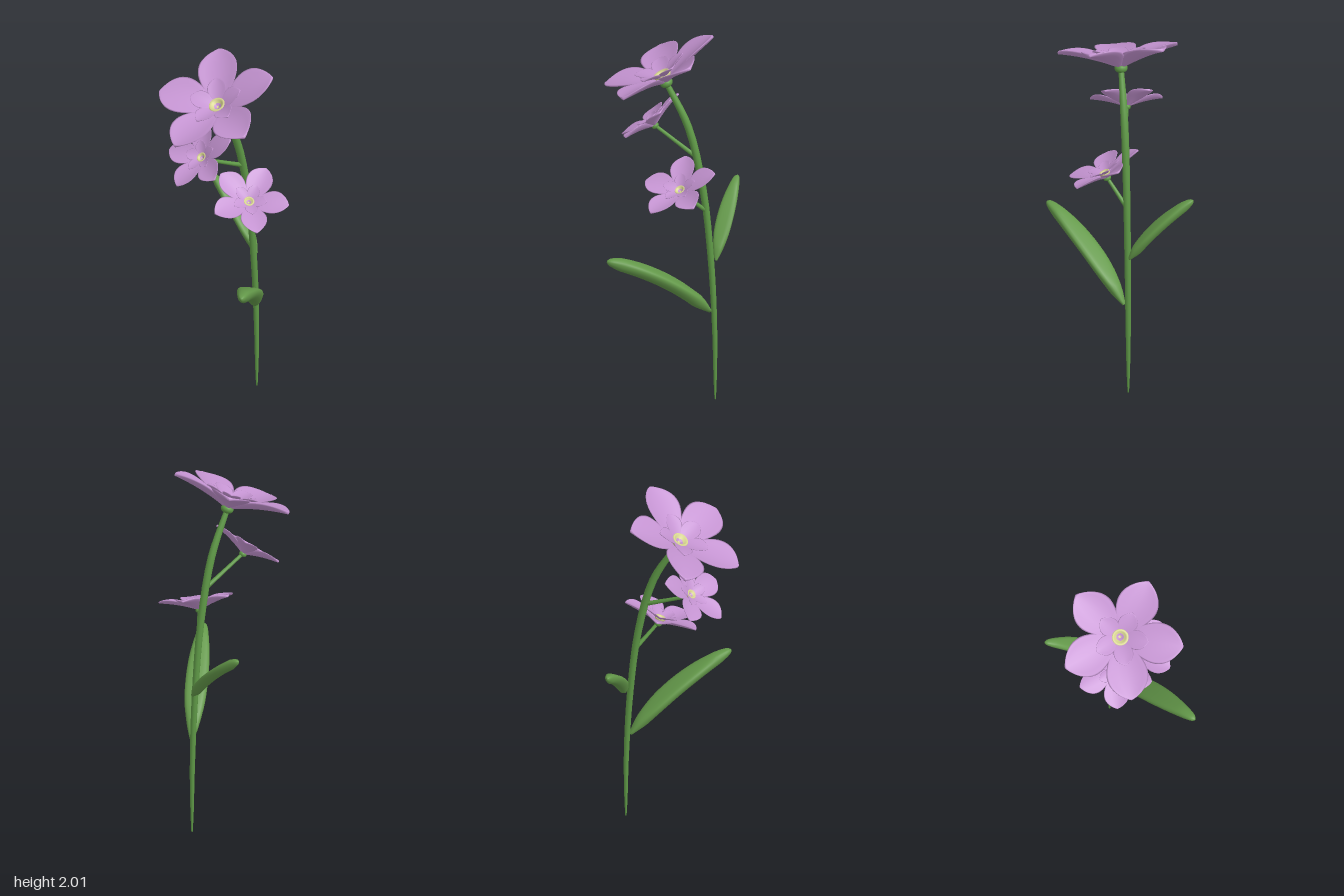
import * as THREE from 'three';

const V = (x, y, z) => new THREE.Vector3(x, y, z);
const petalMat = new THREE.MeshStandardMaterial({ color: 0xc695d3 });
const greenMat = new THREE.MeshStandardMaterial({ color: 0x5e9846 });
const leafMat = new THREE.MeshStandardMaterial({ color: 0x64994a });
const centreMat = new THREE.MeshStandardMaterial({ color: 0xd9d793 });

// Closed sweep along a curve: half-width from a profile of [t, width] points,
// flattened to the given thickness and cupped up at the edges
function blade(curve, profile, { thick = Infinity, cup = 0, ref = V(0, 1, 0), rows = 20, cols = 16 } = {}) {
  const outline = new THREE.SplineCurve(profile.map(([t, w]) => new THREE.Vector2(t, w)));
  const pos = [], index = [];
  for (let i = 0; i <= rows; i++) {
    const o = outline.getPoint(i / rows);
    const t = Math.min(1, Math.max(0, o.x));
    const w = Math.max(0.0005, o.y), h = Math.min(thick, w);
    const c = curve.getPoint(t), T = curve.getTangent(t);
    const S = T.clone().cross(ref).normalize(), N = S.clone().cross(T);
    for (let j = 0; j < cols; j++) {
      const a = (j / cols) * Math.PI * 2;
      const p = c.clone().addScaledVector(S, w * Math.cos(a))
        .addScaledVector(N, h * Math.sin(a) + cup * w * Math.cos(a) ** 2);
      pos.push(p.x, p.y, p.z);
      if (i < rows) {
        const k = (j + 1) % cols, A = i * cols, B = A + cols;
        index.push(A + j, B + j, B + k, A + j, B + k, A + k);
      }
    }
  }
  // End caps
  const last = rows * cols;
  for (let j = 1; j < cols - 1; j++) index.push(0, j, j + 1, last, last + j + 1, last + j);
  const g = new THREE.BufferGeometry();
  g.setAttribute('position', new THREE.Float32BufferAttribute(pos, 3));
  g.setIndex(index);
  g.computeVertexNormals();
  return g;
}

function add(parent, name, geometry, material) {
  const m = new THREE.Mesh(geometry, material);
  m.name = name;
  parent.add(m);
  return m;
}

// Petal: narrow base, broad cupped body, softly pointed tip
const petalGeo = blade(
  new THREE.QuadraticBezierCurve3(V(0.012, 0.003, 0), V(0.16, 0.066, 0), V(0.325, 0.088, 0)),
  [[0, 0.012], [0.2, 0.056], [0.4, 0.091], [0.58, 0.107], [0.74, 0.099], [0.87, 0.069], [0.96, 0.03], [1, 0.002]],
  { thick: 0.009, cup: 0.27 });

const cupGeo = new THREE.LatheGeometry(
  [[0, 0], [0.03, 0.008], [0.045, 0.03], [0.046, 0.042], [0.039, 0.05], [0.029, 0.043], [0.016, 0.027], [0, 0.022]]
    .map(([r, y]) => new THREE.Vector2(r, y)), 20);

// Flower: two rings of five petals, a hollow centre and a green base
function flower(name, position, turn, tilt, scale) {
  const f = new THREE.Group();
  f.name = name;
  for (let i = 0; i < 5; i++) {
    const angle = Math.PI + (i * Math.PI * 2) / 5;
    add(f, 'outerPetal', petalGeo, petalMat).rotation.y = angle;
    const inner = add(f, 'innerPetal', petalGeo, petalMat);
    inner.rotation.set(0, angle, 0.16);
    inner.position.y = 0.02;
    inner.scale.setScalar(0.47);
  }
  add(f, 'flowerCentre', cupGeo, centreMat).position.y = 0.004;
  const base = add(f, 'flowerBase', new THREE.SphereGeometry(0.034, 16, 12), greenMat);
  base.scale.y = 0.75;
  base.position.y = -0.008;
  f.rotation.order = 'YXZ';
  f.rotation.set(0, turn, tilt);
  f.position.copy(position);
  f.scale.setScalar(scale);
  return f;
}

export function createModel() {
  const model = new THREE.Group();
  model.name = 'floweringStem';

  // Main stem, pointed at the foot and bending over at the top
  const stem = new THREE.CatmullRomCurve3([
    V(0.27, 0, -0.01), V(0.267, 0.4, -0.01), V(0.247, 0.8, -0.01),
    V(0.205, 1.2, -0.01), V(0.125, 1.55, -0.01), V(0.005, 1.79, -0.01)]);
  add(model, 'stem', blade(stem,
    [[0, 0.004], [0.08, 0.01], [0.25, 0.015], [0.5, 0.018], [0.8, 0.02], [1, 0.014]],
    { ref: V(0, 0, 1), rows: 30, cols: 10 }), greenMat);

  // Flowers, the two lower ones on side stalks
  const heads = [
    ['topFlower', V(0.003, 1.795, -0.01), 0, 0.48, 1],
    ['middleFlower', V(-0.07, 1.51, -0.05), -0.11, 0.73, 0.6, V(0.16, 1.39, -0.01)],
    ['lowerFlower', V(0.12, 1.21, 0.08), 1.0, 0.48, 0.63, V(0.225, 1.08, -0.01)]];
  for (const [name, p, turn, tilt, scale, root] of heads) {
    model.add(flower(name, p, turn, tilt, scale));
    if (root) add(model, 'flowerStalk', blade(new THREE.LineCurve3(root, p),
      [[0, 0.012], [0.5, 0.01], [1, 0.009]], { rows: 4, cols: 10 }), greenMat);
  }

  // Leaves: thick, gently arched and cupped along the middle
  const leaves = [
    ['backLeaf', V(0.272, 0.8, -0.015), V(0.278, 0.99, -0.145), V(0.28, 1.13, -0.345), 0.044],
    ['frontLeaf', V(0.25, 0.515, 0.01), V(0.06, 0.77, 0.155), V(-0.195, 0.895, 0.345), 0.058]];
  for (const [name, a, b, c, w] of leaves) {
    const profile = [[0, 0.15], [0.12, 0.55], [0.3, 0.92], [0.5, 1], [0.7, 0.88], [0.88, 0.58], [0.97, 0.34], [1, 0.08]];
    add(model, name, blade(new THREE.QuadraticBezierCurve3(a, b, c),
      profile.map(([t, k]) => [t, k * w]), { thick: w * 0.6, cup: 0.3, rows: 24 }), leafMat);
  }
  return model;
}
